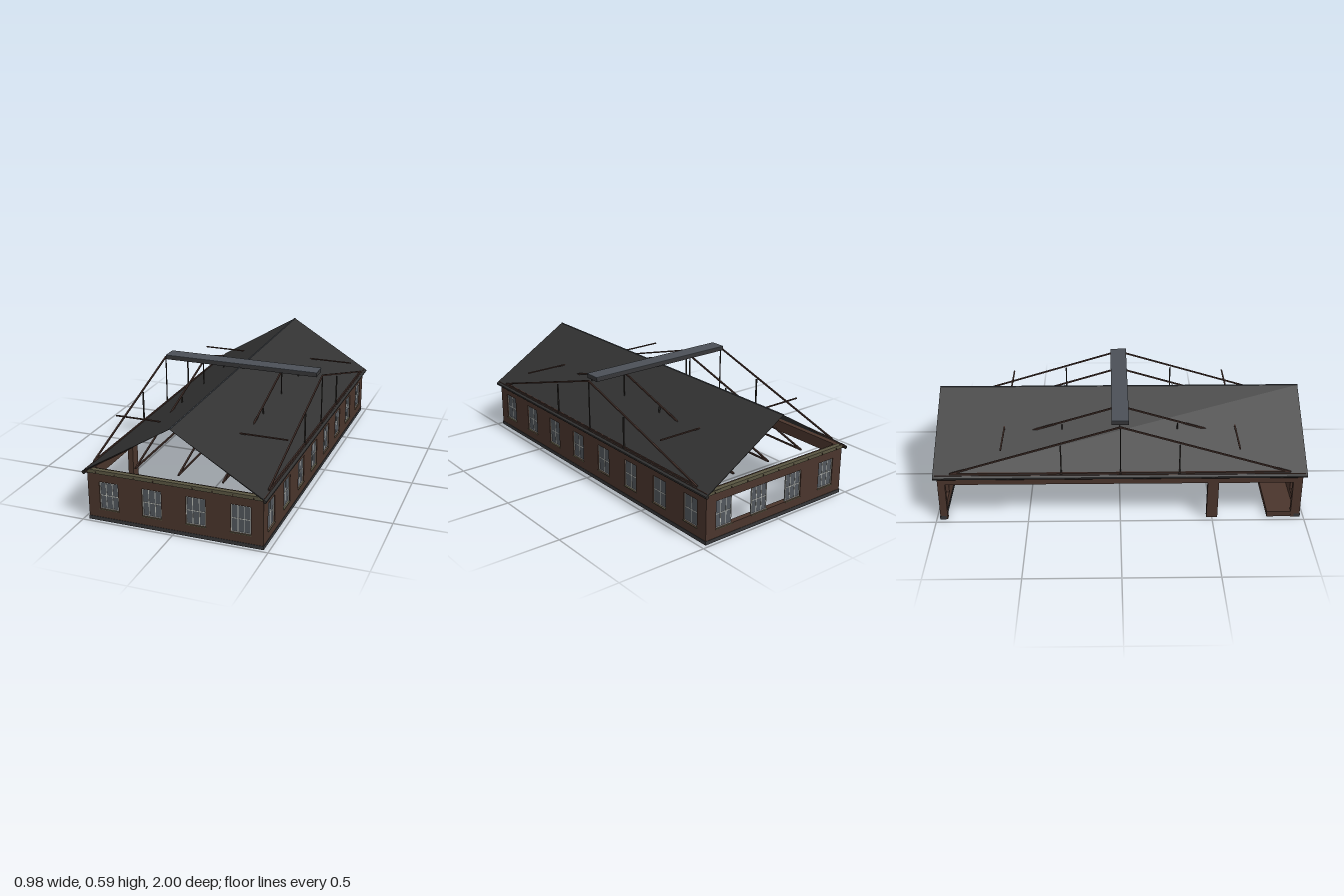
import * as THREE from 'three';

const mat = (name, color, side = THREE.FrontSide) => {
  const m = new THREE.MeshStandardMaterial({ color, side });
  m.name = name;
  return m;
};

export function createModel() {
  const brick = mat('brick', 0x4a352c);
  const roofing = mat('roofing', 0x323232, THREE.DoubleSide);
  const plinthGrey = mat('plinth grey', 0x363638);
  const wood = mat('truss wood', 0x43302a);
  const iron = mat('dark iron', 0x2c2825);
  const trim = mat('olive trim', 0x5a5642);
  const frame = mat('window frame', 0xb8bab4);
  const glass = mat('window glass', 0x52575d);
  const capGrey = mat('vent grey', 0x4b5057);

  const model = new THREE.Group();
  const add = (parent, name, geo, material, x = 0, y = 0, z = 0) => {
    const m = new THREE.Mesh(geo, material);
    m.name = name;
    m.position.set(x, y, z);
    parent.add(m);
    return m;
  };
  const box = (parent, name, material, w, h, d, x, y, z) =>
    add(parent, name, new THREE.BoxGeometry(w, h, d), material, x, y, z);

  const X = 0.47, Z = 0.98, H = 0.28, T = 0.03;
  const Y0 = 0.068, Y1 = 0.218;
  const rect = (path, x0, y0, x1, y1) =>
    path.moveTo(x0, y0).lineTo(x1, y0).lineTo(x1, y1).lineTo(x0, y1).closePath();

  // Window in a wall's own frame: glass, border, bars and sill
  const addWindow = (parent, x, w, columns) => {
    const g = new THREE.Group();
    g.name = 'window';
    g.position.set(x, (Y0 + Y1) / 2, -0.006);
    parent.add(g);
    const h = Y1 - Y0, b = 0.004;
    box(g, 'pane', glass, w, h, 0.003, 0, 0, -0.003);
    for (const s of [-1, 1]) {
      box(g, 'frameSide', frame, b, h, 0.007, s * (w - b) / 2, 0, -0.003);
      box(g, 'frameRail', frame, w, b, 0.007, 0, s * (h - b) / 2, -0.003);
    }
    for (let i = 1; i < columns; i++)
      box(g, 'mullion', frame, 0.004, h, 0.005, -w / 2 + w * i / columns, 0, -0.003);
    box(g, 'crossBar', frame, w, 0.004, 0.005, 0, 0, -0.003);
    box(g, 'sill', trim, w + 0.006, 0.004, 0.012, 0, -h / 2 - 0.002, 0.004);
  };

  // Wall group whose outer face looks along its own +z
  const wallGroup = (name, angle, distance) => {
    const g = new THREE.Group();
    g.name = name;
    g.rotation.y = angle;
    g.position.set(Math.sin(angle) * distance, 0, Math.cos(angle) * distance);
    model.add(g);
    return g;
  };
  const buildWall = (name, angle, distance, half, openings, windows, w, columns) => {
    const g = wallGroup(name, angle, distance);
    const s = new THREE.Shape();
    rect(s, -half, 0, half, H);
    for (const [a, b] of openings) {
      const hole = new THREE.Path();
      rect(hole, a, Y0, b, Y1);
      s.holes.push(hole);
    }
    add(g, 'brickwork', new THREE.ExtrudeGeometry(s, { depth: T, bevelEnabled: false }), brick, 0, 0, -T);
    windows.forEach(x => addWindow(g, x, w, columns));
    box(g, 'plinth', plinthGrey, half * 2 + 0.004, 0.02, T + 0.004, 0, 0.01, -T / 2);
    return g;
  };

  // Walls: both ends, and the long left side
  const endX = [-0.354, -0.118, 0.118, 0.354], endW = 0.104;
  const sideX = [-0.861, -0.615, -0.369, -0.123, 0.123, 0.369, 0.615, 0.861], sideW = 0.102;
  const around = (xs, w) => xs.map(x => [x - w / 2, x + w / 2]);
  const ends = [
    buildWall('frontWall', 0, Z, X, around(endX, endW), endX, endW, 3),
    buildWall('backWall', Math.PI, Z, X, [[-0.406, 0.17], [0.302, 0.406]], endX, endW, 3),
  ];
  buildWall('leftWall', Math.PI / 2, X, Z - 0.001, around(sideX, sideW), sideX, sideW, 2);

  // Cornice with small blocks on each end
  for (const g of ends) {
    box(g, 'cornice', trim, 0.936, 0.018, 0.02, 0, 0.272, -0.004);
    box(g, 'corniceCap', trim, 0.922, 0.004, 0.026, 0, 0.283, -0.003);
    for (let i = 0; i < 9; i++)
      box(g, 'corniceBlock', wood, 0.004, 0.008, 0.004, -0.42 + i * 0.105, 0.27, 0.007);
  }

  // Open right side: lintel, corner piers and one post, with a strip of floor
  const right = new THREE.Group();
  right.name = 'openRightSide';
  model.add(right);
  box(right, 'lintel', brick, T, 0.06, 1.96, -X + T / 2, 0.25, 0);
  for (const [z, d] of [[-0.96, 0.04], [0.5, 0.06], [0.955, 0.05]])
    box(right, 'pier', brick, T, H - 0.06, d, -X + T / 2, (H - 0.06) / 2, z);
  box(right, 'floorStrip', brick, 0.938, 0.03, 0.17, 0, 0.016, 0.885);

  // Roof: two thin slopes that taper towards the ridge, open at both ends
  const slope = (x0, y0, x1, y1, t0, t1) => new THREE.Shape([
    new THREE.Vector2(x0, y0 - t0), new THREE.Vector2(x0, y0),
    new THREE.Vector2(x1, y1), new THREE.Vector2(x1, y1 - t1)]);
  for (const s of [-1, 1]) {
    add(model, 'roofSlope', new THREE.ExtrudeGeometry(
      slope(s * 0.49, 0.272, 0, 0.57, 0.006, 0.001), { depth: 2, bevelEnabled: false }), roofing, 0, 0, -1);
    for (const z of [-0.994, 0.984])
      add(model, 'vergeBoard', new THREE.ExtrudeGeometry(
        slope(s * 0.475, 0.279, s * 0.2, 0.446, 0.009, 0.005), { depth: 0.01, bevelEnabled: false }), wood, 0, 0, z);
    // Eaves gutter and its board
    const gutter = add(model, 'gutter', new THREE.CylinderGeometry(0.009, 0.009, 2, 10, 1), iron, s * 0.481, 0.267, 0);
    gutter.rotation.x = Math.PI / 2;
    box(model, 'eavesBoard', wood, 0.008, 0.02, 1.98, s * 0.474, 0.272, 0);
  }
  box(model, 'ridgeStrip', capGrey, 0.006, 0.003, 2, 0, 0.571, 0);

  // Bar between two points of a truss, each given as height and depth
  const rod = (parent, name, material, [y0, z0], [y1, z1], w) => {
    const m = box(parent, name, material, w, w, Math.hypot(y1 - y0, z1 - z0), 0, (y0 + y1) / 2, (z0 + z1) / 2);
    m.rotation.x = -Math.atan2(y1 - y0, z1 - z0);
  };

  // Trusses run front to back at five places across the width
  for (const x of [-0.47, -0.235, 0, 0.235, 0.47]) {
    const t = new THREE.Group();
    t.name = 'truss';
    t.position.x = x;
    model.add(t);
    rod(t, 'tieBeam', wood, [0.289, -0.91], [0.289, 0.91], 0.008);
    box(t, 'kingPost', iron, 0.005, 0.285, 0.005, 0, 0.427, 0);
    box(t, 'postFoot', iron, 0.016, 0.006, 0.016, 0, 0.284, 0);
    for (const s of [-1, 1]) {
      rod(t, 'rafter', wood, [0.288, s * 0.91], [0.566, 0], 0.008);
      box(t, 'sidePost', iron, 0.007, 0.17, 0.007, 0, 0.372, s * 0.315);
      box(t, 'postFoot', iron, 0.016, 0.006, 0.016, 0, 0.284, s * 0.315);
    }
  }
  for (const z of [-0.63, 0.63])
    box(model, 'purlin', wood, 0.95, 0.006, 0.008, 0, 0.435, z);

  // Raised vent cap lying across the ridge
  box(model, 'ventBody', plinthGrey, 0.896, 0.022, 0.09, 0, 0.578, 0);
  box(model, 'ventTop', capGrey, 0.898, 0.003, 0.092, 0, 0.5905, 0);

  return model;
}
